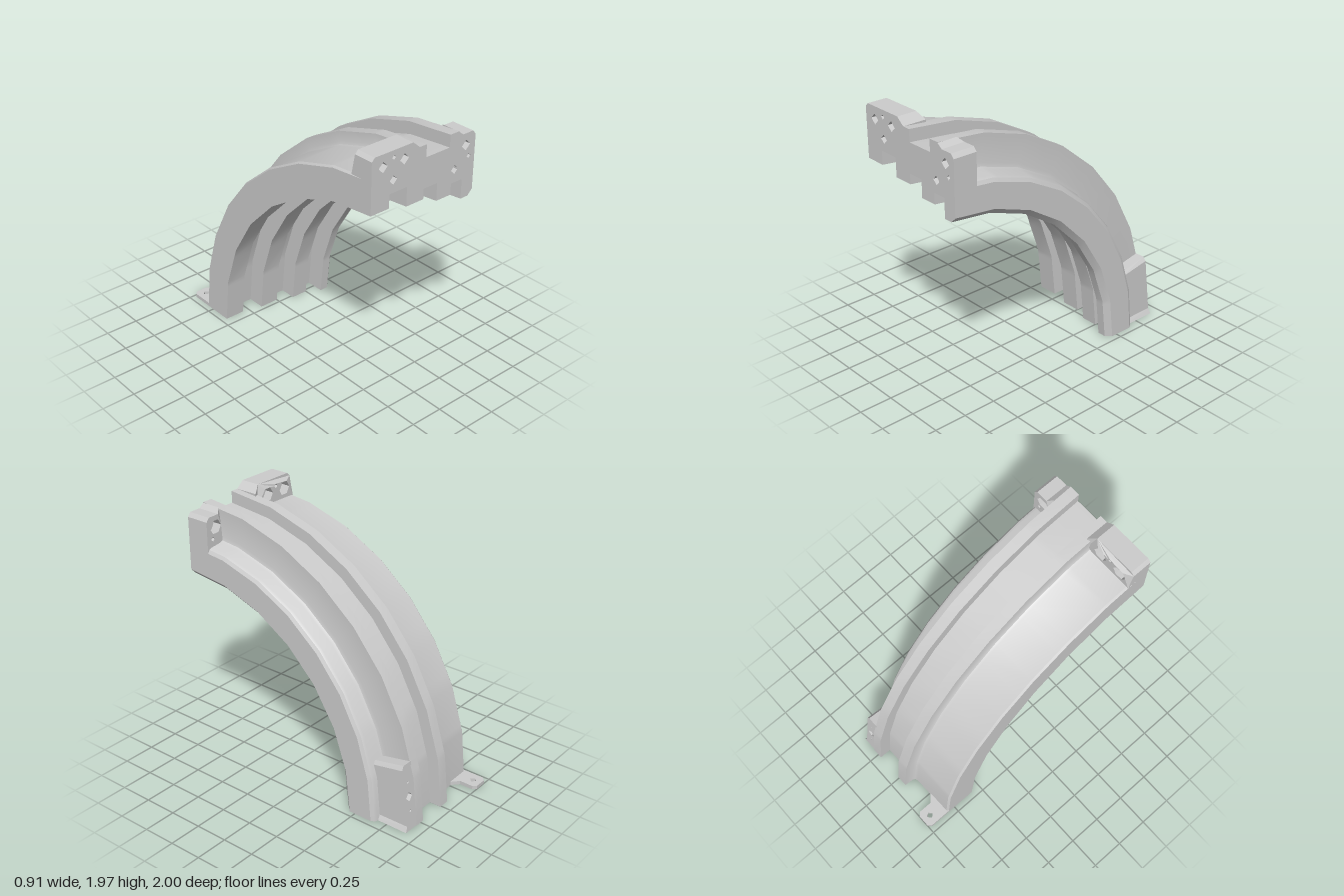
import * as THREE from 'three';
import { toCreasedNormals } from 'three/addons/utils/BufferGeometryUtils.js';

const material = new THREE.MeshStandardMaterial({ color: 0xcccccc });
const QUARTER = Math.PI / 2;

function addMesh(group, name, geometry) {
  const mesh = new THREE.Mesh(geometry, material);
  mesh.name = name;
  group.add(mesh);
  return mesh;
}

// Corner points of a regular hole; four sides give a diamond
function holePoints(x, y, r, sides = 4) {
  return Array.from({ length: sides }, (_, i) => {
    const a = (i / sides) * Math.PI * 2;
    return new THREE.Vector2(x + r * Math.cos(a), y + r * Math.sin(a));
  });
}

// Extruded outline with holes given as [x, y, radius, sides]
function plate(points, holes, depth) {
  const shape = new THREE.Shape(points.map(([x, y]) => new THREE.Vector2(x, y)));
  for (const h of holes) shape.holes.push(new THREE.Path(holePoints(...h)));
  return new THREE.ExtrudeGeometry(shape, { depth, bevelEnabled: false });
}

// Radius of a faceted quarter arc at angle t
function facetRadius(r, t, n) {
  const step = QUARTER / n;
  const k = Math.min(Math.floor(t / step + 1e-6), n - 1);
  return (r * Math.cos(step / 2)) / Math.cos(t - (k + 0.5) * step);
}

// Sweep a counter-clockwise (x, radius, facets) section about the axis y = 0, z = 1
function sweepQuarter(section, pockets) {
  const angles = [...new Set([7, 8].flatMap((n) =>
    Array.from({ length: n + 1 }, (_, i) => +((i / n) * QUARTER).toFixed(6))))].sort((a, b) => a - b);
  const rings = angles.map((t) => section.map(([x, r, n]) => {
    const q = facetRadius(r, t, n);
    return [x, q * Math.sin(t), 1 - q * Math.cos(t)];
  }));
  const pos = [];
  const tri = (a, b, c) => pos.push(...a, ...b, ...c);
  for (let i = 0; i < rings.length - 1; i++) {
    for (let j = 0; j < section.length; j++) {
      const k = (j + 1) % section.length;
      tri(rings[i][j], rings[i][k], rings[i + 1][k]);
      tri(rings[i][j], rings[i + 1][k], rings[i + 1][j]);
    }
  }
  // end caps: the bottom is plain, the front has openings for the pockets
  const outline = section.map(([x, r]) => new THREE.Vector2(x, r));
  for (const [a, b, c] of THREE.ShapeUtils.triangulateShape(outline, [])) {
    tri(rings[0][c], rings[0][b], rings[0][a]);
  }
  const openings = pockets.map((p) => holePoints(...p));
  const front = [...outline, ...openings.flat()].map((v) => [v.x, v.y, 1]);
  for (const [a, b, c] of THREE.ShapeUtils.triangulateShape(outline, openings)) {
    tri(front[a], front[b], front[c]);
  }
  // pocket walls and floors
  for (const o of openings) {
    const at = (i, z) => [o[i % 4].x, o[i % 4].y, z];
    for (let i = 0; i < 4; i++) {
      tri(at(i, 1), at(i + 1, 1), at(i + 1, 0.94));
      tri(at(i, 1), at(i + 1, 0.94), at(i, 0.94));
    }
    tri(at(0, 0.94), at(1, 0.94), at(2, 0.94));
    tri(at(0, 0.94), at(2, 0.94), at(3, 0.94));
  }
  const geo = new THREE.BufferGeometry();
  geo.setAttribute('position', new THREE.Float32BufferAttribute(pos, 3));
  return toCreasedNormals(geo, 0.5);
}

// Upright flange: front layer with bolt holes, rear layer with hexagonal nut seats
function flange(group, name, outline, base, bolts, pins) {
  const part = new THREE.Group();
  part.name = name;
  const layer = (bottom) => outline.map(([x, y]) => [x, y === null ? bottom : y]);
  addMesh(part, name + 'Front', plate(layer(base), [...bolts, ...pins], 0.11)).position.z = 0.89;
  const seats = bolts.map(([x, y]) => [x, y, 0.055, 6]);
  const rear = plate(layer(base), [...seats, ...pins], 0.07);
  // lean the rear top edge forward as a chamfer
  const p = rear.attributes.position;
  const top = Math.max(...outline.map((v) => v[1]));
  for (let i = 0; i < p.count; i++) {
    if (p.getY(i) > top - 0.03 && p.getZ(i) < 0.01) p.setZ(i, 0.03);
  }
  rear.computeVertexNormals();
  addMesh(part, name + 'Rear', rear).position.z = 0.82;
  group.add(part);
}

export function createModel() {
  const group = new THREE.Group();
  group.name = 'quarterRingSegment';

  // Stepped inner side of the ring, then the ribbed outer side
  const inner = [
    [-0.455, 1.575], [-0.3, 1.575], [-0.3, 1.675], [-0.15, 1.675], [-0.15, 1.535],
    [0, 1.535], [0, 1.61], [0.12, 1.61], [0.12, 1.48], [0.25, 1.48], [0.25, 1.56],
    [0.35, 1.56], [0.35, 1.415], [0.415, 1.415], [0.455, 1.455],
  ];
  const outer = [
    [0.455, 1.64], [0.44, 1.665], [0.42, 1.675], [0.33, 1.685], [0.308, 1.695], [0.3, 1.72],
    [0.3, 1.92], [0.22, 1.92], [0.22, 1.83], [0.01, 1.83], [0.01, 1.92], [-0.075, 1.92],
    [-0.08, 1.85], [-0.09, 1.832], [-0.11, 1.825], [-0.44, 1.82], [-0.455, 1.808],
  ];
  const section = [...inner.map((p) => [...p, 7]), ...outer.map((p) => [...p, 8])];
  addMesh(group, 'ringBody', sweepQuarter(section, [[-0.27, 1.765, 0.032], [0.275, 1.655, 0.032]]));

  // Bolting flanges at the front end; null marks the edge set into the ring
  flange(group, 'wideFlange',
    [[-0.455, null], [-0.055, null], [-0.05, 1.92], [-0.11, 1.97], [-0.43, 1.97], [-0.455, 1.945]],
    1.799, [[-0.36, 1.88, 0.038], [-0.18, 1.88, 0.038]], [[-0.27, 1.92, 0.017]]);
  flange(group, 'narrowFlange',
    [[0.3, null], [0.455, null], [0.455, 1.855], [0.43, 1.885], [0.34, 1.885], [0.3, 1.915]],
    1.62, [[0.37, 1.8, 0.038]], [[0.4, 1.715, 0.017]]);

  // Foot block at the lower rear, tapered to follow the ring
  const foot = plate([[0.29, 0], [0.415, 0], [0.395, 0.04], [0.395, 0.47], [0.375, 0.5], [0.29, 0.5]],
    [[0.345, 0.25, 0.035], [0.345, 0.36, 0.01], [0.345, 0.14, 0.01]], 0.3);
  const p = foot.attributes.position;
  for (let i = 0; i < p.count; i++) {
    const y = p.getY(i);
    if (p.getZ(i) < 0.1) p.setZ(i, -0.915 + 0.13 * y);
    else p.setXYZ(i, p.getX(i), y * 0.9, -0.6);
  }
  foot.computeVertexNormals();
  addMesh(group, 'footBlock', foot);

  // Thin bolting tab lying on the ground behind the ring
  const tab = plate([[-0.455, 0.78], [-0.22, 0.78], [-0.27, 0.83], [-0.315, 0.87], [-0.315, 0.975],
    [-0.34, 1], [-0.43, 1], [-0.455, 0.975]], [[-0.385, 0.935, 0.025]], 0.028);
  tab.rotateX(-Math.PI / 2);
  addMesh(group, 'groundTab', tab);

  return group;
}
